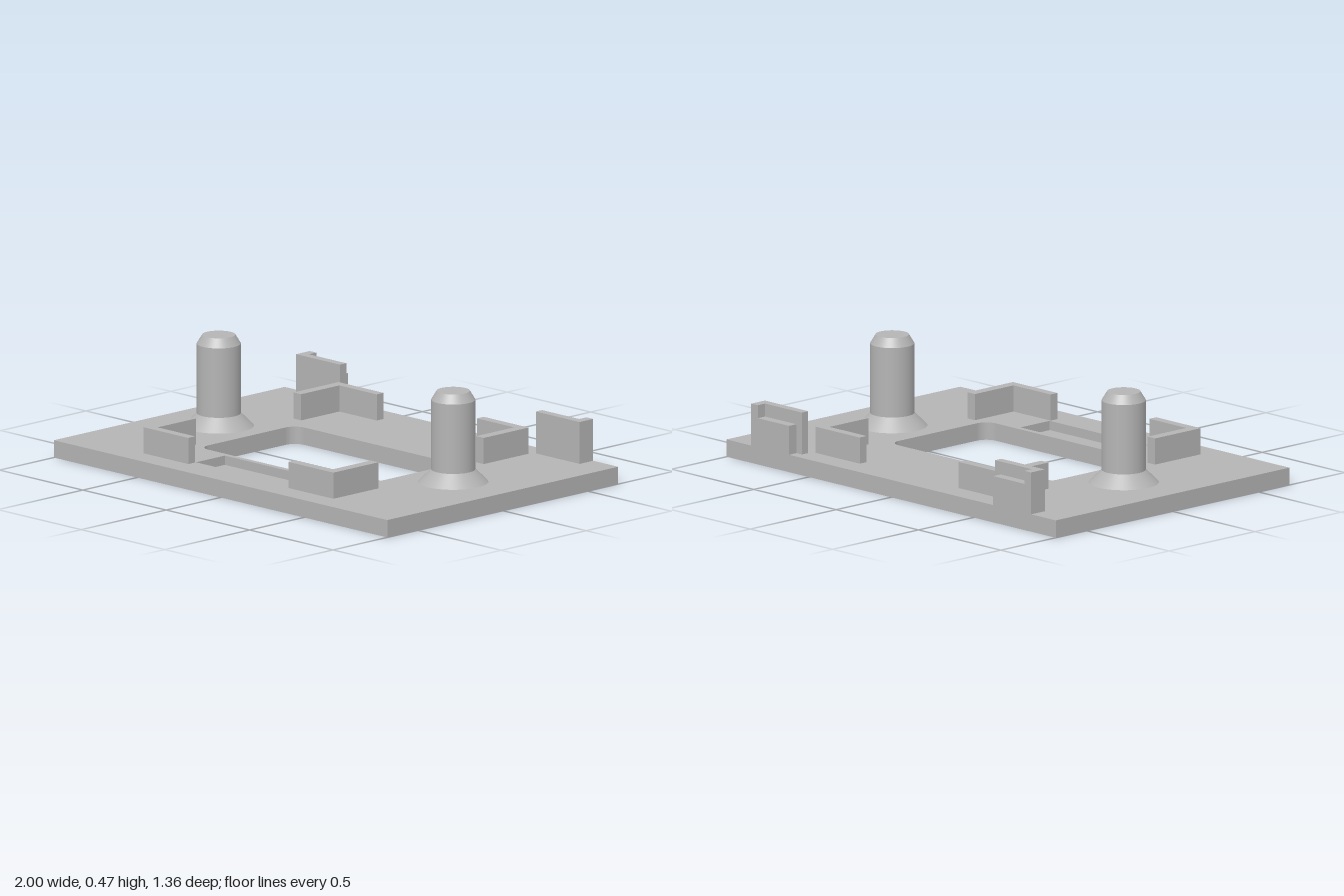
import * as THREE from 'three';

const PLATE = 0.075, POCKET_FLOOR = 0.035;

// Rectangular path in plan (x, z), with optionally rounded corners
function rect(path, x0, z0, x1, z1, r = 0) {
  if (!r) {
    path.moveTo(x0, z0).lineTo(x1, z0).lineTo(x1, z1).lineTo(x0, z1).closePath();
    return path;
  }
  path.moveTo(x0 + r, z0);
  path.lineTo(x1 - r, z0).absarc(x1 - r, z0 + r, r, -Math.PI / 2, 0);
  path.lineTo(x1, z1 - r).absarc(x1 - r, z1 - r, r, 0, Math.PI / 2);
  path.lineTo(x0 + r, z1).absarc(x0 + r, z1 - r, r, Math.PI / 2, Math.PI);
  path.lineTo(x0, z0 + r).absarc(x0 + r, z0 + r, r, Math.PI, Math.PI * 1.5);
  return path;
}

// Extrude a plan shape between two heights
function slab(shape, y0, y1) {
  const g = new THREE.ExtrudeGeometry(shape, { depth: y1 - y0, bevelEnabled: false, curveSegments: 8 });
  return g.rotateX(Math.PI / 2).translate(0, y1, 0);
}

// Plan outline from [x, z] corners, mirrored by side signs
function outline(points, sx, sz = 1) {
  return new THREE.Shape(points.map(([x, z]) => new THREE.Vector2(x * sx, z * sz)));
}

export function createModel() {
  const model = new THREE.Group();
  model.name = 'mountingPlate';
  const grey = new THREE.MeshStandardMaterial({ color: 0xb4b4b4 });
  grey.name = 'grey';
  const add = (name, geometry, parent = model) => {
    const mesh = new THREE.Mesh(geometry, grey);
    mesh.name = name;
    parent.add(mesh);
    return mesh;
  };

  // Base plate: lower layer with the window, upper layer also with a shallow pocket
  const plan = () => {
    const s = rect(new THREE.Shape(), -1, -0.68, 1, 0.68);
    s.holes.push(rect(new THREE.Path(), -0.48, -0.23, 0.48, 0.335, 0.055));
    return s;
  };
  add('plateLower', slab(plan(), 0, POCKET_FLOOR));
  const upper = plan();
  upper.holes.push(rect(new THREE.Path(), -0.3, 0.36, 0.3, 0.53));
  add('plateUpper', slab(upper, POCKET_FLOOR, PLATE));

  // L-shaped corner brackets around the window
  const bracket = [[0.3, 0.575], [0.57, 0.575], [0.57, 0.31], [0.525, 0.31], [0.525, 0.535], [0.3, 0.535]];
  // Peg sections: [bottom radius, top radius, bottom height, top height]
  const sections = [[0.148, 0.093, PLATE, 0.13], [0.093, 0.093, 0.13, 0.43], [0.093, 0.07, 0.43, 0.468]];
  // Rear clip wall with its outer return
  const clip = [[0.587, -0.6], [0.85, -0.6], [0.85, -0.68], [0.81, -0.68], [0.81, -0.637], [0.587, -0.637]];
  const ledge = [[0.62, -0.637], [0.81, -0.637], [0.81, -0.68], [0.62, -0.68]];

  for (const [side, sx] of [['left', 1], ['right', -1]]) {
    add(side + 'FrontBracket', slab(outline(bracket, sx), PLATE, 0.188));
    add(side + 'RearBracket', slab(outline(bracket, sx, -1), PLATE, 0.188));

    const peg = new THREE.Group();
    peg.name = side + 'Peg';
    peg.position.x = 0.703 * sx;
    ['pegFoot', 'pegShaft', 'pegTip'].forEach((name, i) => {
      const [r0, r1, y0, y1] = sections[i];
      add(name, new THREE.CylinderGeometry(r1, r0, y1 - y0, 48), peg).position.y = (y0 + y1) / 2;
    });
    model.add(peg);

    add(side + 'ClipWall', slab(outline(clip, sx), PLATE, 0.256));
    add(side + 'ClipLedge', slab(outline(ledge, sx), PLATE, 0.2));
  }
  return model;
}
